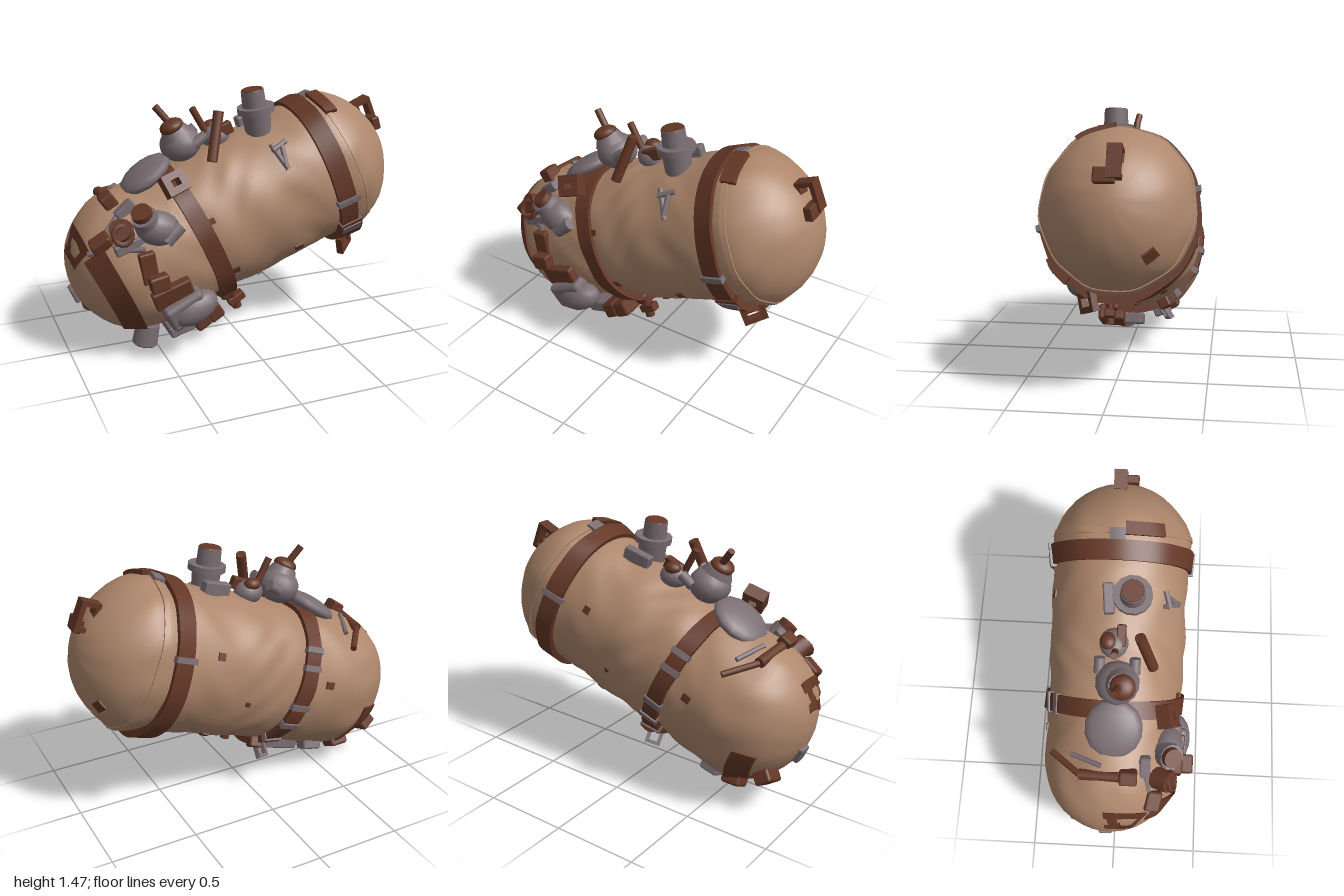
import * as THREE from 'three';
import { mergeVertices, toCreasedNormals } from 'three/addons/utils/BufferGeometryUtils.js';
import { RoundedBoxGeometry } from 'three/addons/geometries/RoundedBoxGeometry.js';

const TILT = 0.35, CY = 0.735, CZ = -0.03, END = 0.62, CAP = 0.4;
const bump = (u, c, w) => Math.exp(-(((u - c) / w) ** 2));

// Radius of the stuffed canvas roll at position u along its axis and angle a (0 = top, PI/2 = front)
function radius(u, a) {
  const e = Math.max(0, Math.abs(u) - END) / CAP;
  const dome = Math.sqrt(Math.max(0, 1 - e * e));
  const size = 0.42 + 0.027 * bump(u, 0.72, 0.22) + 0.005 * bump(u, 0.1, 0.2)
    - 0.012 * bump(u, 0.575, 0.06) - 0.012 * bump(u, -0.26, 0.07);
  const folds = 0.003 * Math.sin(5 * a + 8 * u) + 0.004 * Math.sin(3 * a - 21 * u)
    + 0.004 * Math.sin(11 * a + 5 * Math.sin(7 * u)) * Math.cos(9 * u);
  return dome * (size + folds);
}

function onSkin(u, a, h) {
  const r = radius(u, a) + h;
  return [u, r * Math.cos(a), 0.925 * r * Math.sin(a)];
}

function gridGeometry(rows, cols, point, closeRows) {
  const pos = [], idx = [];
  for (let i = 0; i < rows; i++) for (let j = 0; j <= cols; j++) pos.push(...point(i, j / cols));
  const n = cols + 1;
  for (let i = 0; i < rows - (closeRows ? 0 : 1); i++) for (let j = 0; j < cols; j++) {
    const a = i * n + j, b = ((i + 1) % rows) * n + j;
    idx.push(a, a + 1, b, a + 1, b + 1, b);
  }
  if (closeRows) {
    const k = [0, n, 2 * n, 3 * n];
    idx.push(k[0], k[1], k[2], k[0], k[2], k[3]);
    const e = k.map(v => v + cols);
    idx.push(e[0], e[2], e[1], e[0], e[3], e[2]);
  }
  const g = new THREE.BufferGeometry();
  g.setAttribute('position', new THREE.Float32BufferAttribute(pos, 3));
  g.setIndex(idx);
  return g;
}

export function createModel() {
  const model = new THREE.Group();
  model.name = 'bedrollPack';
  const mat = (name, color) => Object.assign(new THREE.MeshStandardMaterial({ color }), { name });
  const canvas = mat('canvas', 0xad866b);
  const leather = mat('leather', 0x643726);
  const metal = mat('dullMetal', 0x7a6d71);

  const roll = new THREE.Group();
  roll.name = 'roll';
  roll.position.set(0, CY, CZ);
  roll.rotation.z = TILT;
  model.add(roll);

  function add(parent, name, geo, material, pos = [0, 0, 0], rot = [0, 0, 0]) {
    const m = new THREE.Mesh(geo, material);
    m.name = name;
    m.position.set(...pos);
    m.rotation.set(...rot);
    parent.add(m);
    return m;
  }

  // Canvas roll with domed ends
  const us = [];
  for (let i = 0; i <= 10; i++) us.push(-END - CAP * Math.cos(i / 10 * Math.PI / 2));
  for (let i = 1; i < 36; i++) us.push(-END + 2 * END * i / 36);
  for (let i = 0; i <= 10; i++) us.push(END + CAP * Math.sin(i / 10 * Math.PI / 2));
  const body = mergeVertices(gridGeometry(us.length, 64, (i, t) => onSkin(us[i], (t % 1) * Math.PI * 2, 0)));
  body.computeVertexNormals();
  add(roll, 'canvasRoll', body, canvas);

  // Slab hugging the canvas; slant shifts it along the axis from top to bottom, sag lets it hang below
  function band(name, material, u, w, a0, a1, hi, slant = 0, sag = 0) {
    const corners = [[-w / 2, hi], [w / 2, hi], [w / 2, -0.02], [-w / 2, -0.02]];
    const cols = Math.max(2, Math.ceil((a1 - a0) * 10));
    const geo = gridGeometry(4, cols, (i, t) => {
      const a = a0 + (a1 - a0) * t, c = Math.cos(a);
      return onSkin(u + corners[i][0] - slant * c, a, corners[i][1] + (i < 2 ? sag * Math.max(0, -c) : 0));
    }, true);
    add(roll, name, toCreasedNormals(geo, 0.7), material);
  }
  const TAU = Math.PI * 2;
  band('rightStrap', leather, 0.575, 0.11, 0, TAU, 0.024, -0.01, 0.02);
  band('middleStrap', leather, -0.255, 0.1, 0, TAU, 0.024, 0.03, 0.02);
  band('endStrap', leather, -0.83, 0.12, 0.85, 4.6, 0.016, 0.03);
  band('endStrapTip', leather, -0.915, 0.11, -0.1, 0.75, 0.013);
  band('rightHem', canvas, 0.71, 0.03, 0, TAU, 0.006, 0.02);
  // Strap keepers
  for (const a of [1.78, 5.0]) band('rightKeeper', metal, 0.575, 0.135, a - 0.035, a + 0.035, 0.036, 0, 0.02);
  for (const a of [3.85, 4.25, 4.55, 5.1, 5.35])
    band('middleKeeper', metal, -0.255, 0.115, a - 0.04, a + 0.04, 0.033, 0.03, 0.02);
  band('rightBucklePlate', leather, 0.575, 0.14, 2.15, 2.5, 0.034, 0, 0.02);
  band('rightKeeper', metal, 0.575, 0.12, 2.2, 2.32, 0.039, 0, 0.02);
  band('topTab', leather, 0.725, 0.075, 0.06, 0.6, 0.026, 0.02);
  band('topTabKeeper', metal, 0.655, 0.1, -0.15, 0.06, 0.022);
  // Sewn patches: axis position, angle, size along, angular size
  for (const [u, a, w, d] of [[0.24, 2.25, 0.05, 0.1], [0.0, 2.7, 0.03, 0.06], [-0.17, 2.05, 0.05, 0.1],
    [-0.2, 1.2, 0.035, 0.08], [0.88, 3.82, 0.04, 0.25], [0.35, 5.1, 0.04, 0.1], [0.0, 3.3, 0.08, 0.18],
    [0.2, 3.7, 0.04, 0.1], [-0.42, 4.9, 0.05, 0.1], [0.1, 4.5, 0.025, 0.06]])
    band('patch', leather, u, w, a - d / 2, a + d / 2, 0.01);

  const box = (name, m, pos, size, rot) =>
    add(model, name, new RoundedBoxGeometry(...size, 1, Math.min(...size) * 0.18), m, pos, rot);
  const cyl = (name, m, pos, r0, r1, h, rot) =>
    add(model, name, new THREE.CylinderGeometry(r1, r0, h, 14), m, pos, rot);
  function blob(name, m, pos, scale, rot) {
    const s = add(model, name, new THREE.SphereGeometry(1, 14, 10), m, pos, rot);
    s.scale.set(...scale);
  }
  function rod(name, m, from, to, r) {
    const a = new THREE.Vector3(...from), b = new THREE.Vector3(...to);
    const s = cyl(name, m, a.clone().lerp(b, 0.5).toArray(), r, r, a.distanceTo(b));
    s.quaternion.setFromUnitVectors(new THREE.Vector3(0, 1, 0), b.sub(a).normalize());
  }
  // Rectangular ring, open along its local z
  function frame(name, m, pos, w, h, bar, depth, rot) {
    const rect = (s, x, y) => s.moveTo(-x, -y).lineTo(x, -y).lineTo(x, y).lineTo(-x, y).closePath();
    const s = rect(new THREE.Shape(), w / 2, h / 2);
    s.holes.push(rect(new THREE.Path(), w / 2 - bar, h / 2 - bar));
    const g = new THREE.ExtrudeGeometry(s, { depth, bevelEnabled: false });
    g.translate(0, 0, -depth / 2);
    add(model, name, g, m, pos, rot);
  }

  // Handle on the right dome, buckle loops on the straps
  frame('domeHandle', leather, [0.89, 1.24, -0.05], 0.11, 0.17, 0.026, 0.075, [0, 0, 0.4]);
  box('domeHandleTab', leather, [0.93, 1.185, 0], [0.05, 0.08, 0.11], [0, 0, 0.3]);
  frame('rightBuckleLoop', leather, [0.7, 0.49, 0.12], 0.14, 0.11, 0.032, 0.04, [0, 0.7, 0.35]);
  frame('middleTopBuckle', leather, [-0.43, 1.03, 0.27], 0.13, 0.12, 0.04, 0.08, [-0.5, 0, 0.35]);
  rod('middleHook', leather, [-0.04, 0.3, 0.11], [0.0, 0.16, 0.11], 0.028);
  box('middleHookFoot', leather, [-0.01, 0.22, 0.11], [0.11, 0.05, 0.06], [0, 0, 0.5]);
  box('middleStrapEnd', leather, [-0.06, 0.27, 0.1], [0.1, 0.08, 0.07], [0.3, 0, 0.35]);
  frame('backRing', metal, [-0.07, 0.24, -0.22], 0.09, 0.11, 0.02, 0.03, [0.6, 0.5, 0]);
  box('backBuckle', leather, [-0.03, 0.3, -0.22], [0.08, 0.07, 0.07], [0.5, 0, 0.35]);

  // Lidded can on top
  const lean = [0, 0, 0.15];
  cyl('canBody', metal, [0.145, 1.27, 0.05], 0.075, 0.085, 0.17, lean);
  cyl('canBrim', metal, [0.135, 1.345, 0.05], 0.108, 0.108, 0.035, lean);
  cyl('canNeck', metal, [0.12, 1.4, 0.05], 0.07, 0.066, 0.11, lean);
  cyl('canCap', leather, [0.112, 1.456, 0.05], 0.064, 0.06, 0.008, lean);
  box('canBracket', metal, [0.15, 1.25, -0.08], [0.17, 0.1, 0.06], [0, 0.1, 0.3]);
  rod('hookStem', metal, [0.15, 1.18, 0.23], [0.225, 1.05, 0.31], 0.015);
  rod('hookBar', metal, [0.15, 1.15, 0.26], [0.24, 1.19, 0.23], 0.015);
  rod('hookTip', metal, [0.21, 1.18, 0.24], [0.215, 1.06, 0.31], 0.014);

  // Small cup, handles and kettle on top
  blob('cup', metal, [-0.08, 1.185, -0.04], [0.085, 0.07, 0.08]);
  blob('cupLid', leather, [-0.09, 1.24, -0.07], [0.05, 0.035, 0.045]);
  box('cupStrap', leather, [-0.05, 1.225, 0], [0.12, 0.07, 0.05], [0, 0, 0.4]);
  rod('thickHandle', leather, [-0.18, 1.1, 0.18], [-0.11, 1.36, 0.1], 0.03);
  rod('thinHandle', leather, [-0.22, 1.36, -0.03], [-0.12, 1.18, -0.03], 0.02);
  blob('kettle', metal, [-0.3, 1.17, -0.01], [0.12, 0.1, 0.12], [0, 0, 0.3]);
  cyl('kettleNeck', metal, [-0.34, 1.25, 0.01], 0.095, 0.065, 0.06, [0, 0, 0.45]);
  blob('kettleLid', leather, [-0.36, 1.28, 0.02], [0.07, 0.04, 0.07], [0, 0, 0.45]);
  rod('kettleHandle', leather, [-0.36, 1.29, 0], [-0.44, 1.39, -0.02], 0.02);
  for (const z of [-0.11, 0.08]) rod('kettleLug', metal, [-0.25, 1.18, z], [-0.18, 1.23, z], 0.03);
  blob('foldedCloth', metal, [-0.51, 1.01, -0.02], [0.17, 0.055, 0.16], [0, 0, 0.6]);

  // Cluster on the upper front of the left end
  blob('pot', metal, [-0.53, 0.79, 0.28], [0.13, 0.1, 0.09], [0, 0, -0.3]);
  cyl('potNeck', metal, [-0.6, 0.85, 0.29], 0.08, 0.07, 0.08, [0.5, 0, 0.5]);
  cyl('potLid', leather, [-0.62, 0.885, 0.3], 0.06, 0.055, 0.07, [0.5, 0, 0.5]);
  cyl('potSpout', metal, [-0.46, 0.77, 0.32], 0.05, 0.04, 0.12, [0, 0, -0.9]);
  cyl('jar', leather, [-0.73, 0.8, 0.26], 0.065, 0.06, 0.1, [1.1, 0, 0.4]);
  add(model, 'jarRing', new THREE.TorusGeometry(0.05, 0.016, 6, 14), leather, [-0.735, 0.79, 0.31], [-0.4, 0, 0]);
  box('jarBase', metal, [-0.68, 0.72, 0.27], [0.2, 0.06, 0.08], [0, 0, 0.3]);
  box('smallPouch', leather, [-0.83, 0.72, 0.21], [0.12, 0.08, 0.09], [0.3, 0, 0.6]);
  box('upperPouch', leather, [-0.75, 0.91, 0.07], [0.08, 0.09, 0.1], [0, 0, 0.6]);
  box('upperClip', metal, [-0.68, 0.88, 0.16], [0.12, 0.06, 0.06], [0, 0, 0.7]);
  rod('pin', metal, [-0.9, 0.66, 0.18], [-0.62, 0.7, 0.33], 0.016);
  rod('pin', metal, [-0.84, 0.72, 0.2], [-0.66, 0.92, 0.14], 0.016);
  rod('rearStrapRod', leather, [-0.75, 0.9, 0.02], [-0.74, 0.88, -0.2], 0.03);
  rod('rearStrapRod', leather, [-0.74, 0.88, -0.2], [-0.61, 0.84, -0.36], 0.018);
  rod('rearPin', metal, [-0.7, 0.93, -0.08], [-0.63, 0.89, -0.25], 0.014);

  // Hanging tab and pouch on the front
  box('hangingTab', leather, [-0.61, 0.6, 0.35], [0.09, 0.18, 0.05], [0, 0, 0.15]);
  box('tabBuckle', leather, [-0.57, 0.53, 0.41], [0.11, 0.09, 0.07], [0, 0, 0.2]);
  box('pouchFlap', leather, [-0.48, 0.43, 0.35], [0.23, 0.12, 0.07], [0.2, 0, 0.35]);
  box('frontPouch', metal, [-0.41, 0.33, 0.33], [0.24, 0.17, 0.15], [0.2, 0.1, 0.45]);
  blob('pouchBulge', metal, [-0.36, 0.32, 0.35], [0.15, 0.09, 0.09], [0, 0, 0.4]);

  // Gear under the left end
  cyl('bottomCup', metal, [-0.56, 0.075, 0.08], 0.075, 0.07, 0.12, [0, 0, -0.2]);
  cyl('bottomCupBase', leather, [-0.572, 0.012, 0.08], 0.068, 0.068, 0.008, [0, 0, -0.2]);
  box('bottomSatchel', metal, [-0.32, 0.11, 0.05], [0.24, 0.07, 0.22], [0, 0, 0.3]);
  for (const [x, y, z] of [[-0.17, 0.18, 0.12], [-0.25, 0.14, 0.12]])
    box('bottomPouch', leather, [x, y, z], [0.1, 0.1, 0.16], [0, 0, 0.55]);
  box('bottomClip', metal, [-0.45, 0.14, -0.17], [0.12, 0.07, 0.1], [0.4, 0, 0.2]);
  box('lowerPouch', leather, [-0.82, 0.22, -0.2], [0.1, 0.08, 0.15], [0.4, 0, -0.6]);
  box('lowerPouch', leather, [-0.62, 0.15, -0.2], [0.12, 0.1, 0.12], [0.5, 0, 0]);
  box('lowerClip', metal, [-0.76, 0.22, -0.12], [0.09, 0.07, 0.1], [0, 0, -0.6]);
  box('endClip', metal, [-0.93, 0.34, -0.05], [0.06, 0.1, 0.08], [0, 0, 0.4]);
  return model;
}
